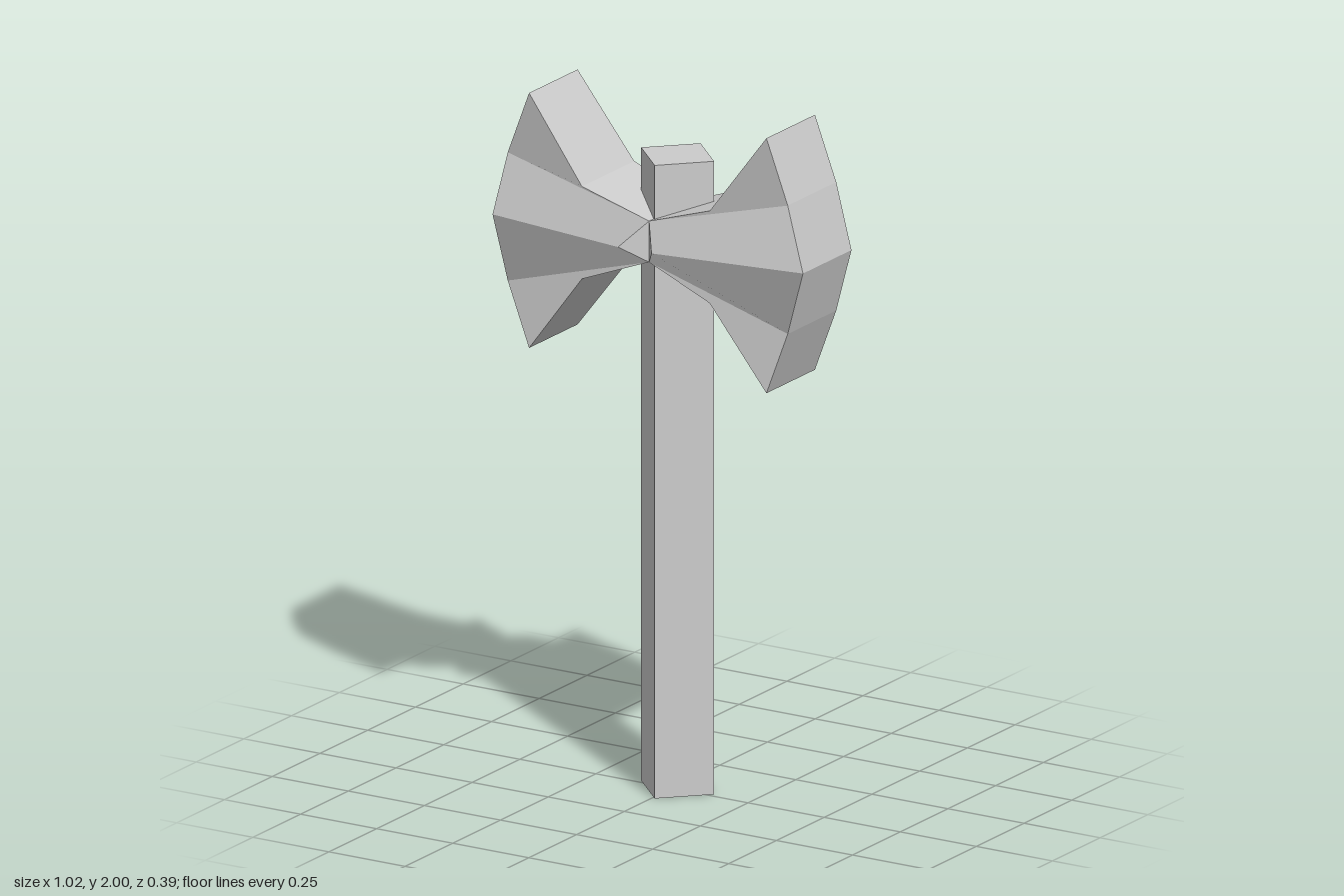
import * as THREE from 'three';

// Half of the axe head outline, counter-clockwise: [x, y, half thickness]
const OUTLINE = [
  [0, 1.57, 0.12], [0.21, 1.49, 0.137], [0.39, 1.255, 0.127],
  [0.46, 1.44, 0.127], [0.51, 1.625, 0.127], [0.46, 1.815, 0.127],
  [0.39, 2.0, 0.127], [0.21, 1.76, 0.137], [0, 1.69, 0.12],
  [0.055, 1.625, 0.195], // raised ridge point on the cheek
];

// Cheek facets; each fans out from its first corner and is shaded as one plane
const CHEEK = [[3, 0, 1, 2], [3, 4, 9, 0], [5, 8, 9, 4], [5, 6, 7, 8], [9, 8, 0]];
CHEEK[0] = [1, 2, 3, 0];
CHEEK[3] = [7, 8, 5, 6];

function bladeGeometry(side) {
  const positions = [], normals = [];
  const point = (i, s) => new THREE.Vector3(side * OUTLINE[i][0], OUTLINE[i][1], s * OUTLINE[i][2]);

  function addFacet(points, flip) {
    const p = flip ? [...points].reverse() : points;
    // Keep the fan centred on the same corner after reversing
    if (flip) p.unshift(p.pop());
    const n = new THREE.Vector3();
    p.forEach((a, i) => n.add(a.clone().cross(p[(i + 1) % p.length])));
    n.normalize();
    for (let i = 1; i < p.length - 1; i++) {
      for (const v of [p[0], p[i], p[i + 1]]) {
        positions.push(...v.toArray());
        normals.push(...n.toArray());
      }
    }
  }

  // Front and back cheeks
  for (const s of [1, -1]) {
    for (const facet of CHEEK) addFacet(facet.map((i) => point(i, s)), s * side < 0);
  }
  // Rim: cutting edge, upper and lower sides
  for (let i = 0; i < 8; i++) {
    addFacet([point(i, 1), point(i, -1), point(i + 1, -1), point(i + 1, 1)], side < 0);
  }

  const geometry = new THREE.BufferGeometry();
  geometry.setAttribute('position', new THREE.Float32BufferAttribute(positions, 3));
  geometry.setAttribute('normal', new THREE.Float32BufferAttribute(normals, 3));
  return geometry;
}

export function createModel() {
  const group = new THREE.Group();
  group.name = 'doubleAxe';
  const material = new THREE.MeshStandardMaterial({ color: 0xcccccc });

  // Square handle turned corner-forward
  const width = 0.12 * Math.SQRT2;
  const handle = new THREE.Mesh(new THREE.BoxGeometry(width, 1.85, width), material);
  handle.name = 'handle';
  handle.rotation.y = Math.PI / 4;
  handle.position.set(0.009, 0.925, -0.015);
  group.add(handle);

  // Mirrored blades
  for (const side of [1, -1]) {
    const blade = new THREE.Mesh(bladeGeometry(side), material);
    blade.name = side > 0 ? 'leftBlade' : 'rightBlade';
    group.add(blade);
  }
  return group;
}
